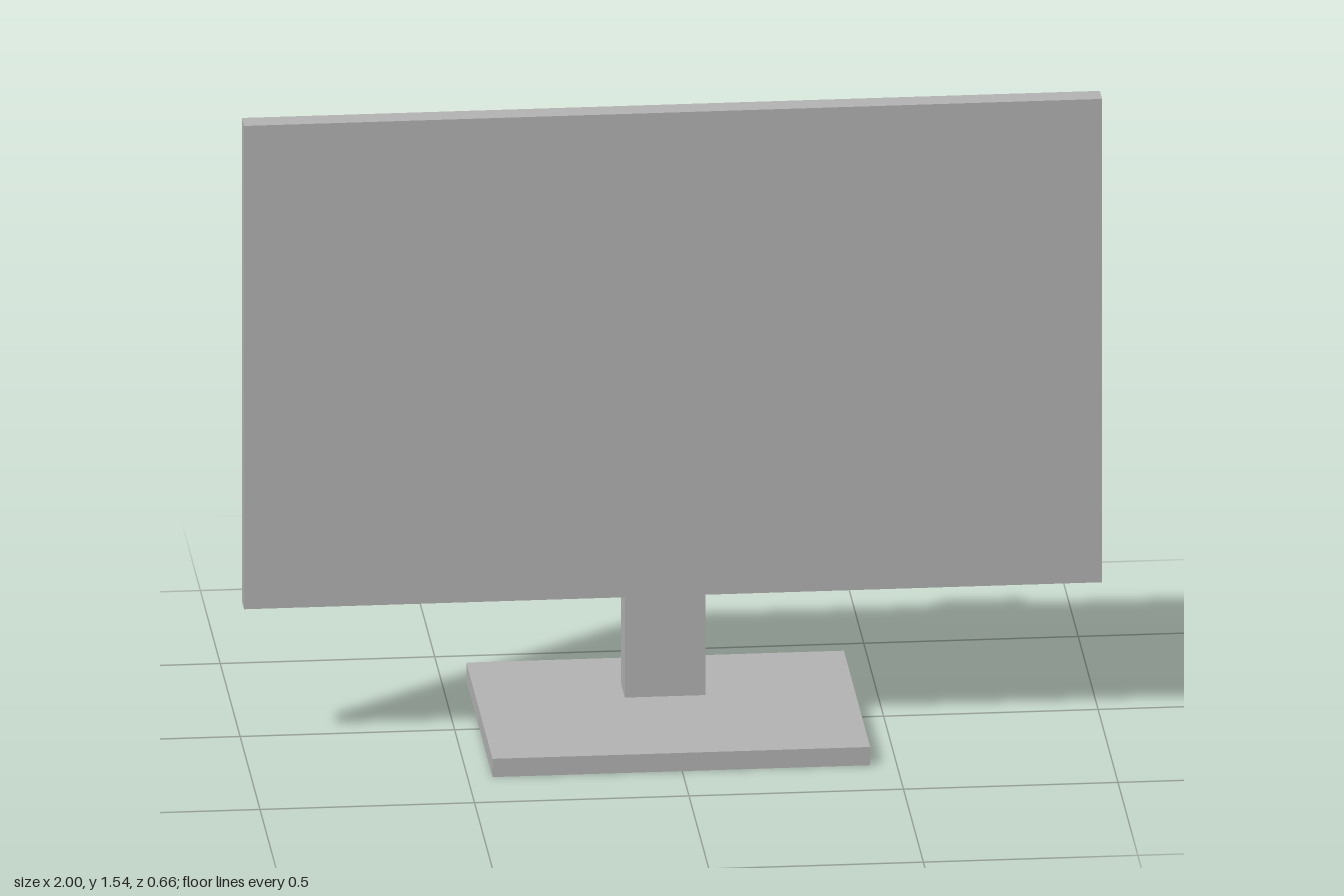
import * as THREE from 'three';

const grey = new THREE.MeshStandardMaterial({ color: 0xb4b4b4 });
grey.name = 'grey';
grey.side = THREE.DoubleSide;

// Box given by its minimum and maximum corners
function box(name, min, max) {
  const size = max.map((v, i) => v - min[i]);
  const mesh = new THREE.Mesh(new THREE.BoxGeometry(...size), grey);
  mesh.position.set(...min.map((v, i) => v + size[i] / 2));
  mesh.name = name;
  return mesh;
}

// Smooth bevelled housing: octagonal rim narrowing to a flat rectangle
function rearHousing(halfW, halfH, inset, rimZ, backZ) {
  const points = [];
  const index = [];
  const w = halfW - inset;
  const h = halfH - inset;
  [[1, 1], [-1, 1], [-1, -1], [1, -1]].forEach(([sx, sy], i) => {
    const side = [sx * halfW, sy * h, rimZ];
    const edge = [sx * w, sy * halfH, rimZ];
    const [first, last] = i % 2 ? [edge, side] : [side, edge];
    points.push(sx * w, sy * h, backZ, ...first, ...last);

    // corner triangle, then the sloping side to the next corner
    const a = i * 3;
    const b = ((i + 1) % 4) * 3;
    index.push(a, a + 2, a + 1);
    index.push(a, b, b + 1, a, b + 1, a + 2);
  });
  index.push(0, 9, 6, 0, 6, 3); // flat back

  const geometry = new THREE.BufferGeometry();
  geometry.setAttribute('position', new THREE.Float32BufferAttribute(points, 3));
  geometry.setIndex(index);
  geometry.computeVertexNormals();
  const mesh = new THREE.Mesh(geometry, grey);
  mesh.name = 'rearHousing';
  return mesh;
}

export function createModel() {
  const model = new THREE.Group();
  model.name = 'monitor';

  // Screen panel and housing
  model.add(box('screenPanel', [-1, 0.35, 0.045], [1, 1.543, 0.1]));
  const housing = rearHousing(1, 0.596, 0.215, 0.045, -0.058);
  housing.position.y = 0.947;
  model.add(housing);

  // Stand column
  model.add(box('standColumn', [-0.098, 0.045, -0.154], [0.09, 1.212, -0.058]));

  // Base plate, hollow underneath: the bottom face is left out
  const base = box('basePlate', [-0.442, 0, -0.33], [0.438, 0.045, 0.33]);
  const faces = Array.from(base.geometry.index.array);
  faces.splice(18, 6);
  base.geometry.setIndex(faces);
  base.geometry.clearGroups();
  model.add(base);

  return model;
}
